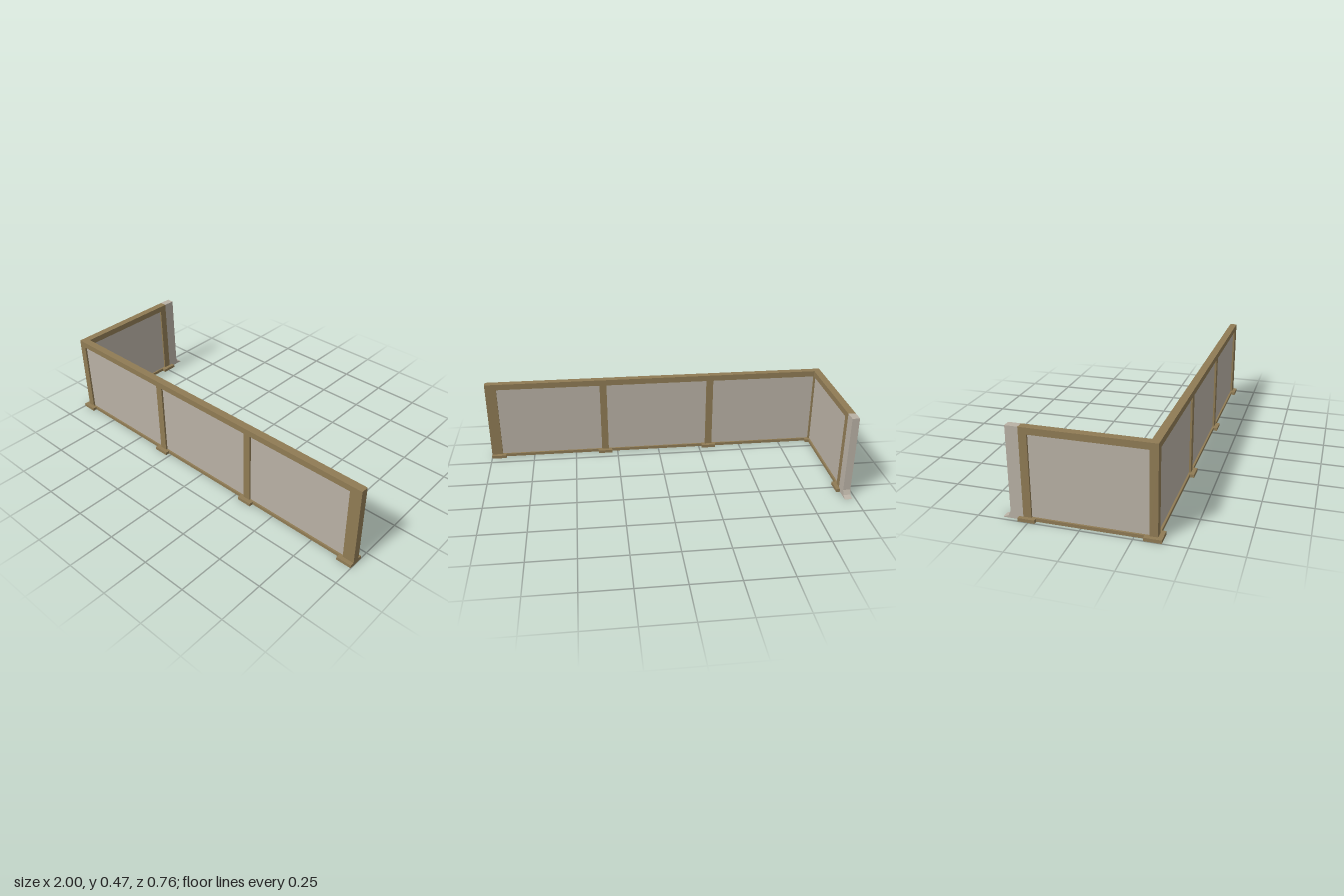
import * as THREE from 'three';

export function createModel() {
  const model = new THREE.Group();
  model.name = 'cornerPartition';
  const wood = new THREE.MeshStandardMaterial({ name: 'wood', color: 0x8f7b54 });
  const grey = new THREE.MeshStandardMaterial({ name: 'panelGrey', color: 0xb9b1a5 });

  const H = 0.465, baseH = 0.017, railY = 0.432;

  // Box given by its min and max corners
  function box(name, mat, x0, x1, y0, y1, z0, z1) {
    const mesh = new THREE.Mesh(new THREE.BoxGeometry(x1 - x0, y1 - y0, z1 - z0), mat);
    mesh.position.set((x0 + x1) / 2, (y0 + y1) / 2, (z0 + z1) / 2);
    mesh.name = name;
    model.add(mesh);
  }

  // Front wall: posts, rails and recessed panels
  const fz0 = 0.32, fz1 = 0.36;
  const posts = [[-0.98, -0.94], [-0.329, -0.289], [0.303, 0.343], [0.937, 1]];
  posts.forEach(([a, b], i) => {
    box('frontPost', wood, a, b, baseH, railY, fz0, fz1);
    if (i < 3) {
      const next = posts[i + 1][0];
      box('frontPanel', grey, b, next, baseH, railY, 0.33, 0.35);
    }
  });
  box('frontTopRail', wood, -0.98, 1, railY, H, fz0, fz1);

  // Side wall running back from the corner
  const sx0 = -0.98, sx1 = -0.94;
  box('sidePost', wood, sx0, sx1, baseH, railY, -0.28, -0.24);
  box('sidePanel', grey, -0.97, -0.95, baseH, railY, -0.24, fz0);
  box('sideTopRail', wood, sx0, sx1, railY, H, -0.28, fz0);

  // Foot plates under the posts
  const feet = [[-1, -0.918], [-0.35, -0.267], [0.283, 0.365], [0.916, 1]];
  feet.forEach(([a, b], i) => {
    box('footPlate', wood, a, b, 0, baseH, 0.298, 0.382);
    if (i < 3) box('frontBottomRail', wood, b, feet[i + 1][0], 0, baseH, fz0, fz1);
  });
  box('footPlate', wood, -1, -0.918, 0, baseH, -0.301, -0.217);
  box('sideBottomRail', wood, sx0, sx1, 0, baseH, -0.217, 0.298);

  // End cap with a flared foot, extruded across the side wall
  const profile = new THREE.Shape([
    [0.28, 0], [0.382, 0], [0.355, 0.012], [0.343, 0.037], [0.343, H], [0.28, H],
  ].map(([x, y]) => new THREE.Vector2(x, y)));
  const capGeo = new THREE.ExtrudeGeometry(profile, { depth: sx1 - sx0, bevelEnabled: false });
  capGeo.rotateY(Math.PI / 2);
  const cap = new THREE.Mesh(capGeo, grey);
  cap.position.x = sx0;
  cap.name = 'flaredEndCap';
  model.add(cap);

  return model;
}
